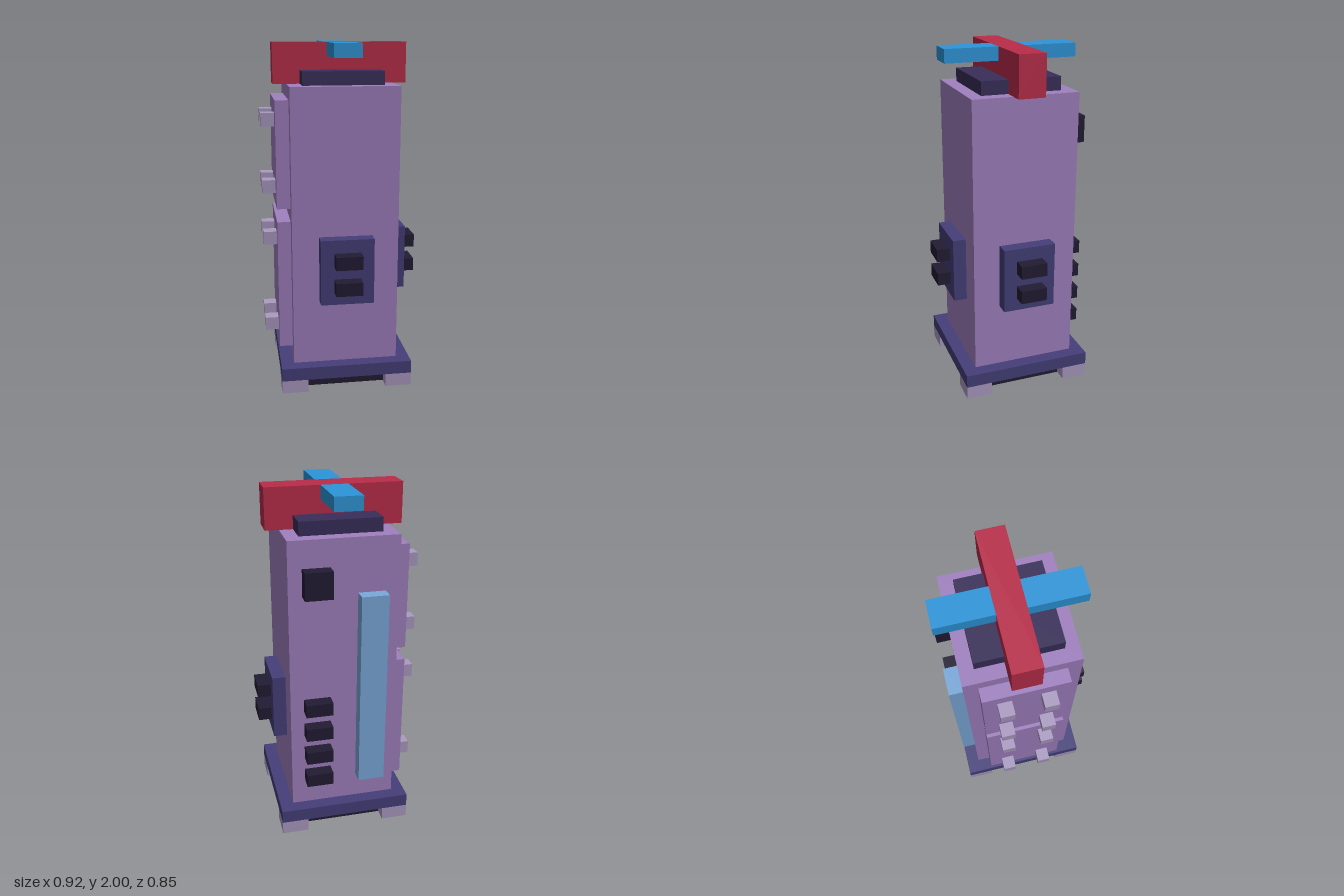
import * as THREE from 'three';

const U = 2 / 26; // one grid cell; the whole model is 26 cells tall

const mat = (color) => new THREE.MeshStandardMaterial({ color, flatShading: true });
const purple = mat(0xa080c0), navy = mat(0x453f7a), black = mat(0x221c33), plum = mat(0x382d59);
const red = mat(0xba2c4a), blue = mat(0x2c96da), paleBlue = mat(0x7aaadb), lavender = mat(0xab9bc2);

export function createModel() {
  const model = new THREE.Group();
  model.name = 'cabinet';

  // Box between two corners, measured in grid cells
  const box = (name, material, [x0, x1], [y0, y1], [z0, z1], parent = model) => {
    const mesh = new THREE.Mesh(
      new THREE.BoxGeometry((x1 - x0) * U, (y1 - y0) * U, (z1 - z0) * U), material);
    mesh.position.set((x0 + x1) / 2 * U, (y0 + y1) / 2 * U, (z0 + z1) / 2 * U);
    mesh.name = name;
    parent.add(mesh);
    return mesh;
  };
  const group = (name) => {
    const g = new THREE.Group();
    g.name = name;
    model.add(g);
    return g;
  };

  // Base with recessed underside and four feet
  const base = group('base');
  box('basePlate', navy, [-5, 5], [1, 2], [-5.5, 4.5], base);
  box('undersidePlate', black, [-4, 4], [0, 1], [-4.5, 3.5], base);
  for (const x of [-5, 3])
    for (const z of [-5.5, 2.5]) box('foot', lavender, [x, x + 2], [0, 1], [z, z + 2], base);

  // Main body and cap
  box('body', purple, [-4, 4], [2, 23], [-4.5, 3.5]);
  box('cap', plum, [-3, 3], [23, 24], [-3.5, 2.5]);

  // Crossed bars on top; the blue one is let into the red one
  box('crossBar', red, [-5, 5], [23, 26], [-1.5, 0.5]);
  box('longBarFront', blue, [-1, 1], [25, 26], [0.5, 4.5]);
  box('longBarBack', blue, [-1, 1], [25, 26], [-5.5, -1.5]);

  // Control panels on the front and the left side, two buttons each
  const front = group('frontPanel');
  box('panel', navy, [-2, 2], [7, 12], [3.5, 4.5], front);
  const side = group('leftPanel');
  box('panel', navy, [4, 5], [7, 12], [-2.5, 1.5], side);
  for (const y of [8, 10]) {
    box('button', black, [-1, 1], [y, y + 1], [4.5, 5.5], front);
    box('button', black, [5, 6], [y, y + 1], [-1.5, 0.5], side);
  }

  // Two doors with corner knobs on the right side
  for (const [name, y0, y1] of [['lowerDoor', 3, 13], ['upperDoor', 14, 22]]) {
    const door = group(name);
    box('doorLeaf', purple, [-5, -4], [y0, y1], [-3.5, 2.5], door);
    for (const y of [y0 + 1, y1 - 2])
      for (const z of [-2.5, 0.5]) box('knob', lavender, [-6, -5], [y, y + 1], [z, z + 1], door);
  }

  // Back: light strip and a column of sockets
  box('lightStrip', paleBlue, [-3, -1], [4, 19], [-5.5, -4.5]);
  for (const y of [4, 6, 8, 10]) box('socket', black, [1, 3], [y, y + 1], [-5.5, -4.5]);
  box('largeSocket', black, [1, 3], [19, 21], [-5.5, -4.5]);

  return model;
}
